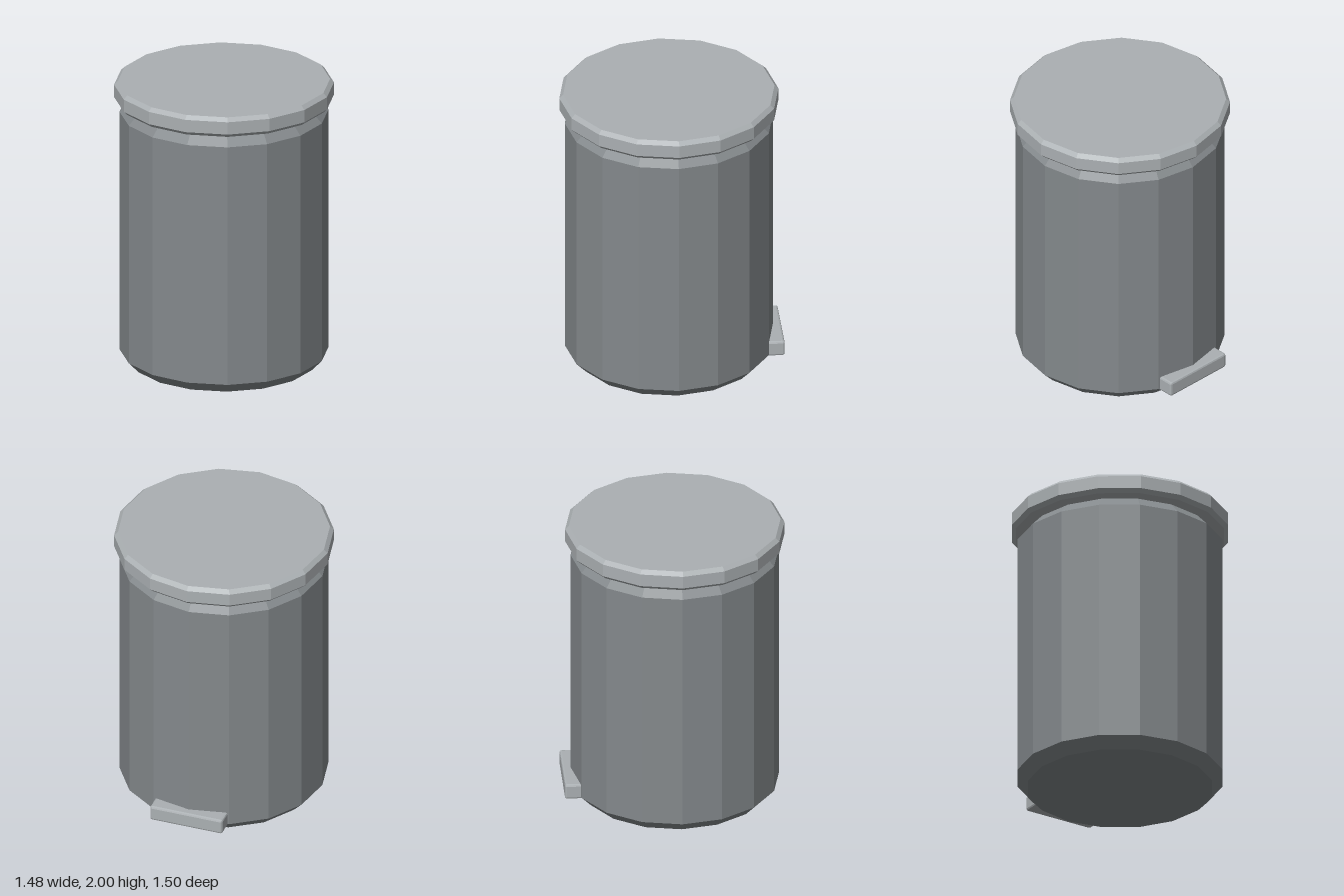
import * as THREE from 'three';
import { RoundedBoxGeometry } from 'three/addons/geometries/RoundedBoxGeometry.js';

const SIDES = 16;

// Give every face its own flat normal
function faceted(geometry) {
  const flat = geometry.index ? geometry.toNonIndexed() : geometry;
  flat.computeVertexNormals();
  return flat;
}

// Closed faceted solid turned from a [radius, height] profile, listed bottom to top
function turned(name, profile, material) {
  const points = profile.map(([r, y]) => new THREE.Vector2(r, y));
  const mesh = new THREE.Mesh(faceted(new THREE.LatheGeometry(points, SIDES)), material);
  mesh.name = name;
  mesh.position.z = 0.01;
  return mesh;
}

export function createModel() {
  const bodyGrey = new THREE.MeshStandardMaterial({ color: 0x84898c });
  bodyGrey.name = 'body grey';
  const lightGrey = new THREE.MeshStandardMaterial({ color: 0xabb0b3 });
  lightGrey.name = 'light grey';

  const bin = new THREE.Group();
  bin.name = 'pedalBin';

  // Body with chamfered foot and shoulder
  bin.add(turned('body', [
    [0, 0], [0.63, 0], [0.702, 0.075], [0.702, 1.78], [0.625, 1.86], [0, 1.86],
  ], bodyGrey));

  // Overhanging lid with chamfered rims
  bin.add(turned('lid', [
    [0, 1.86], [0.713, 1.86], [0.739, 1.886], [0.739, 1.974], [0.713, 2], [0, 2],
  ], lightGrey));

  // Foot pedal, sunk into the back of the body
  const pedal = new THREE.Mesh(
    faceted(new RoundedBoxGeometry(0.516, 0.108, 0.15, 1, 0.014)), lightGrey);
  pedal.name = 'pedal';
  pedal.position.set(0, 0.114, -0.673);
  bin.add(pedal);

  return bin;
}
